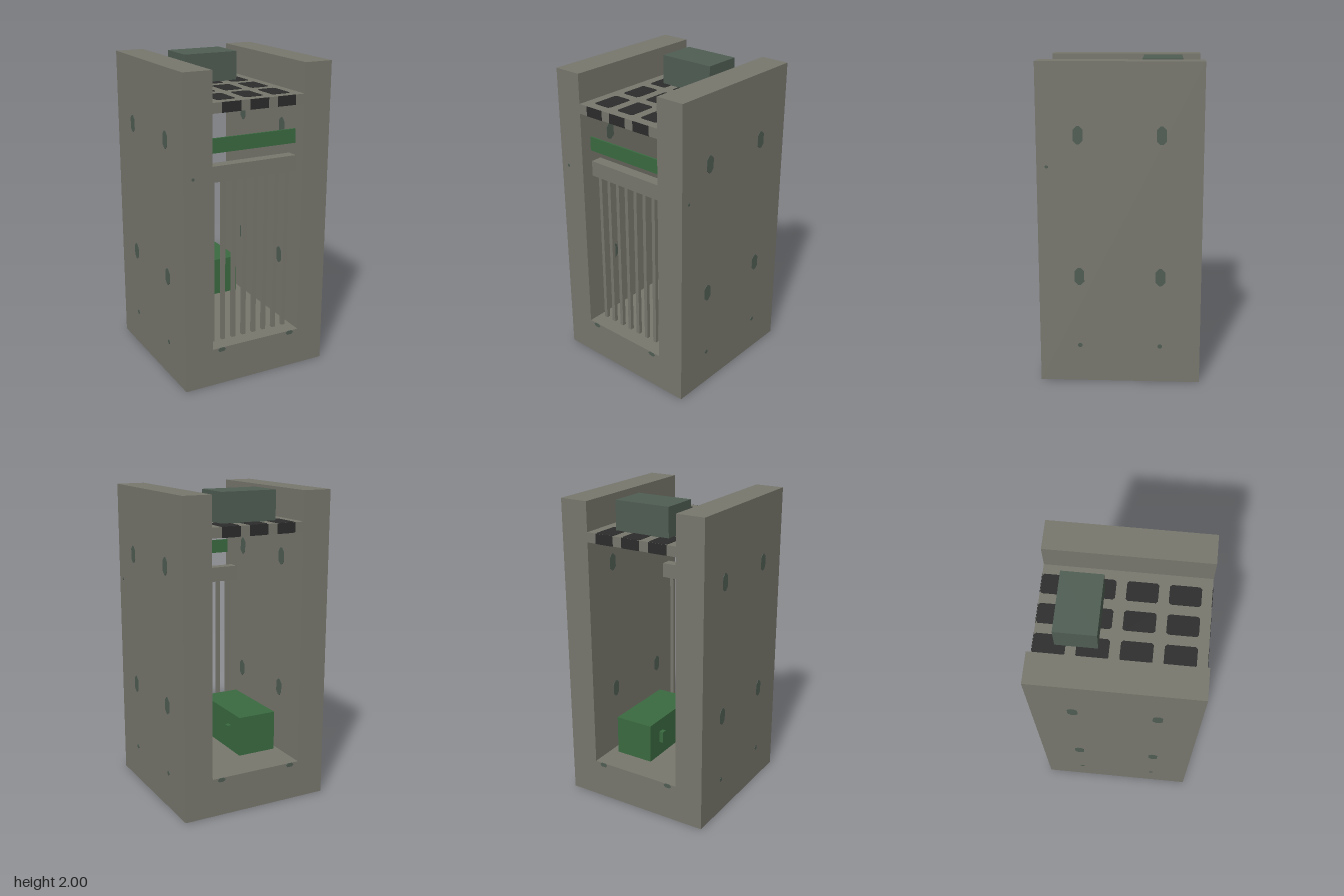
import * as THREE from 'three';

const mat = (name, color) => {
  const m = new THREE.MeshStandardMaterial({ color });
  m.name = name;
  return m;
};

// Rectangle outline with cut corners
function cutRect(w, h, c) {
  const x = w / 2, y = h / 2;
  return new THREE.Shape([[-x + c, -y], [x - c, -y], [x, -y + c], [x, y - c],
    [x - c, y], [-x + c, y], [-x, y - c], [-x, -y + c]].map(p => new THREE.Vector2(...p)));
}

export function createModel() {
  const root = new THREE.Group();
  root.name = 'cabinet';
  const stone = mat('warm grey', 0x77776d);
  const slate = mat('slate green', 0x4f5d53);
  const green = mat('green', 0x3a6a40);
  const dark = mat('charcoal', 0x2c2c2c);

  const add = (name, geo, m, x, y, z) => {
    const mesh = new THREE.Mesh(geo, m);
    mesh.name = name;
    mesh.position.set(x, y, z);
    root.add(mesh);
    return mesh;
  };
  const box = (name, m, w, h, d, x, y, z) => add(name, new THREE.BoxGeometry(w, h, d), m, x, y, z);
  // Thin plate standing in the XY plane, centred on its own thickness
  const plate = (w, h, c, t = 0.004) =>
    new THREE.ExtrudeGeometry(cutRect(w, h, c), { depth: t, bevelEnabled: false }).translate(0, 0, -t / 2);

  // U-shaped shell: base and two side walls
  const u = new THREE.Shape([[-0.5, 0], [0.5, 0], [0.5, 2], [0.3125, 2], [0.3125, 0.25],
    [-0.3125, 0.25], [-0.3125, 2], [-0.5, 2]].map(p => new THREE.Vector2(...p)));
  add('shell', new THREE.ExtrudeGeometry(u, { depth: 1, bevelEnabled: false }), stone, 0, 0, -0.5);

  // Roof slab with a grid of dark panels showing above and below
  box('roof', stone, 0.625, 0.0625, 1, 0, 1.78125, 0);
  for (const x of [-0.1875, 0, 0.1875]) {
    for (const z of [-0.405, -0.156, 0.094, 0.344]) {
      const p = add('roofPanel', plate(0.125, 0.1875, 0.012, 0.0665), dark, x, 1.78125, z);
      p.rotation.x = -Math.PI / 2;
    }
    for (const z of [-0.5, 0.5]) box('roofEdgePatch', dark, 0.125, 0.0625, 0.004, x, 1.78125, z);
  }

  // Box on the roof
  box('roofUnit', slate, 0.375, 0.1875, 0.25, 0, 1.90625, -0.25);

  // Front grille
  box('grilleHeader', stone, 0.625, 0.1, 0.075, 0, 1.3625, 0.3825);
  for (let i = 0; i < 8; i++) {
    box('grilleBar', stone, 0.025, 1.065, 0.025, (i - 3.5) * 0.075, 0.7825, 0.39);
  }
  box('signStrip', green, 0.58, 0.09, 0.012, 0, 1.545, 0.44);

  // Green unit at the back with side knobs
  box('rearUnit', green, 0.25, 0.25, 0.5, 0, 0.5, -0.25);
  for (const s of [-1, 1]) box('sideKnob', green, 0.025, 0.075, 0.035, s * 0.1375, 0.505, -0.375);

  // Ports on both faces of the side walls, and small studs low on the outside
  for (const x of [-0.5, -0.3125, 0.3125, 0.5]) {
    for (const z of [-0.25, 0.25]) {
      for (const y of [0.69, 1.567]) {
        add('wallPort', plate(0.06, 0.11, 0.022), slate, x, y, z).rotation.y = Math.PI / 2;
      }
      if (Math.abs(x) === 0.5) {
        add('wallStud', plate(0.028, 0.028, 0.009), slate, x, 0.237, z).rotation.y = Math.PI / 2;
      }
    }
  }

  // Studs under the base and at the front and back sills
  for (const x of [-0.25, 0.25]) {
    for (const z of [-0.25, 0.25]) {
      add('baseStud', plate(0.035, 0.035, 0.01, 0.002), slate, x, 0, z).rotation.x = Math.PI / 2;
    }
    for (const z of [-0.5, 0.5]) add('sillStud', plate(0.055, 0.026, 0.012), slate, x, 0.237, z);
  }
  add('frontPin', plate(0.018, 0.018, 0.005), slate, -0.44, 1.375, 0.5);
  add('sidePin', plate(0.018, 0.018, 0.005), slate, 0.5, 1.375, 0.44).rotation.y = Math.PI / 2;

  return root;
}
